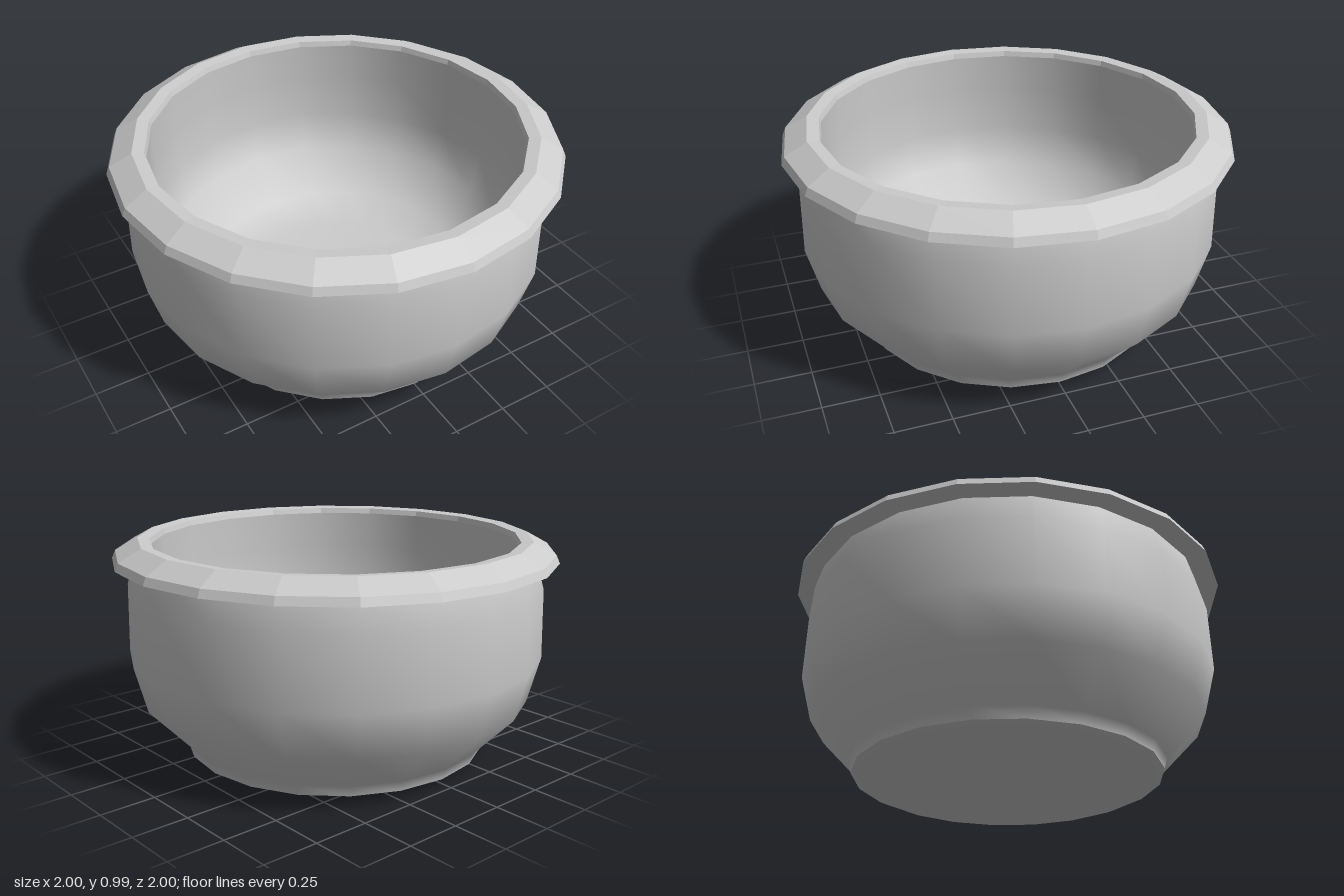
import * as THREE from 'three';

const SIDES = 20;

// Revolve a [radius, height] profile into a named mesh
function revolve(name, profile, flatShading = false) {
  const points = profile.map(([r, y]) => new THREE.Vector2(r, y));
  const material = new THREE.MeshStandardMaterial({ color: 0xcccccc, flatShading });
  const mesh = new THREE.Mesh(new THREE.LatheGeometry(points, SIDES), material);
  mesh.name = name;
  return mesh;
}

export function createModel() {
  const bowl = new THREE.Group();
  bowl.name = 'bowl';

  // Underside, softly turned up at its edge
  bowl.add(revolve('base', [[0, 0], [0.65, 0], [0.695, 0.02]]));

  // Rounded outer wall, rising from the foot to under the rim
  bowl.add(revolve('outerWall', [
    [0.695, 0.02], [0.71, 0.07], [0.89, 0.26], [0.945, 0.47], [0.938, 0.78], [0.905, 0.9],
  ]));

  // Faceted overhanging rim with a nearly level top
  bowl.add(revolve('rim', [
    [0.905, 0.9], [1, 0.9], [0.985, 0.935], [0.885, 0.99], [0.832, 0.985], [0.825, 0.96],
  ], true));

  // Hollow inside: upright wall curving into a thick floor
  bowl.add(revolve('innerWall', [
    [0.825, 0.96], [0.83, 0.78], [0.83, 0.56], [0.79, 0.37], [0.62, 0.2], [0.4, 0.155], [0, 0.15],
  ]));

  return bowl;
}
